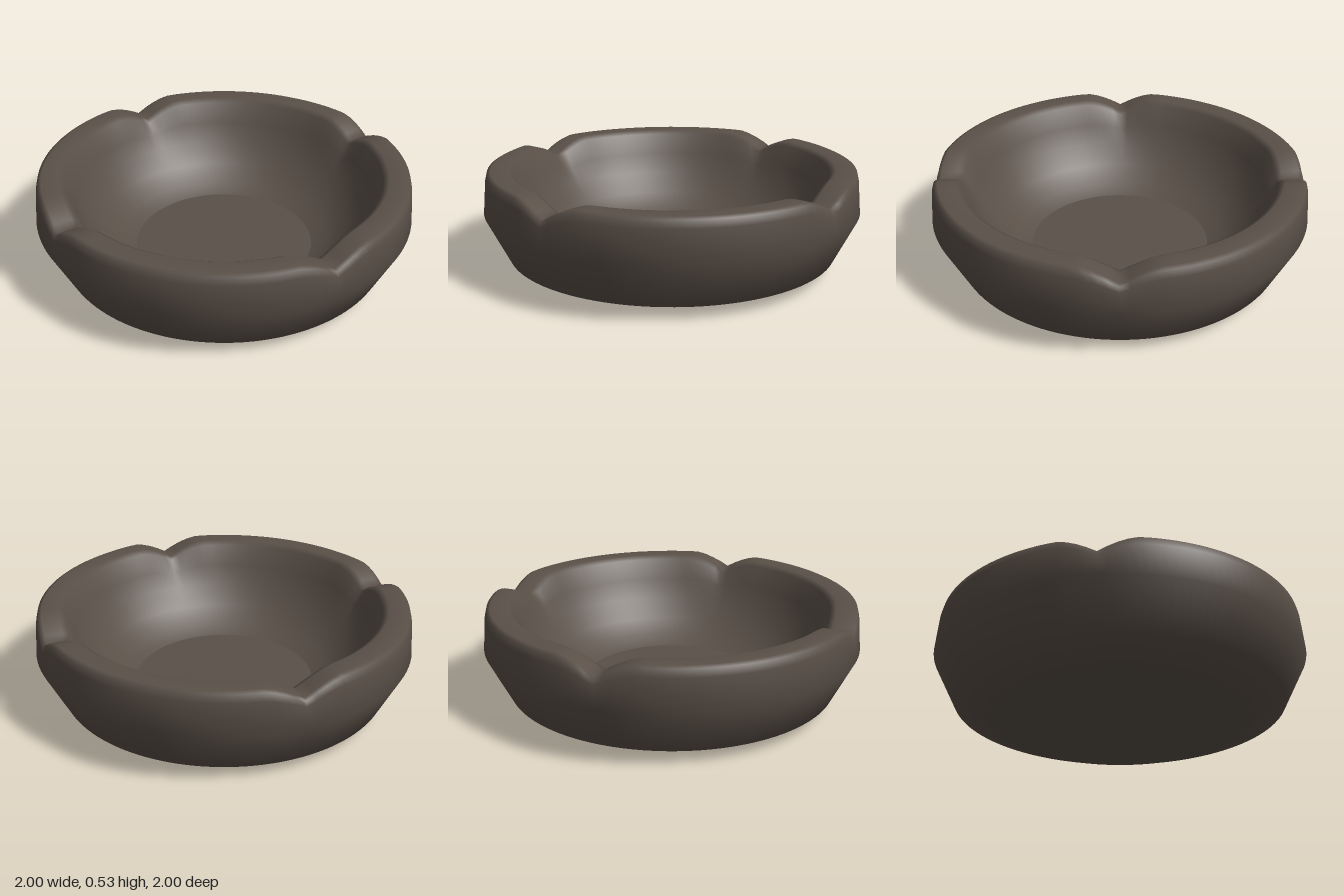
import * as THREE from 'three';
import { mergeVertices } from 'three/addons/utils/BufferGeometryUtils.js';

const FLOOR = 0.075, FLOOR_R = 0.48, BASE_R = 0.69;
const RIM_Y = 0.53, BEND_Y = 0.31, NOTCH_DEPTH = 0.08, NOTCH_HALF = 0.2;

export function createModel() {
  const group = new THREE.Group();
  const material = new THREE.MeshStandardMaterial({ color: 0x5a5048 });

  const add = (name, geometry) => {
    const mesh = new THREE.Mesh(geometry, material);
    mesh.name = name;
    group.add(mesh);
    return mesh;
  };

  // Wall: up the outside, over the rim, down the inside
  const profile = [
    [BASE_R, 0], [0.88, 0.07], [1, BEND_Y], [0.985, 0.48], [0.975, 0.52], [0.955, RIM_Y],
    [0.865, RIM_Y], [0.835, 0.51], [0.79, 0.4], [0.74, 0.29], [0.66, 0.19], [0.57, 0.115], [FLOOR_R, FLOOR],
  ].map(([r, y]) => new THREE.Vector2(r, y));
  let wall = new THREE.LatheGeometry(profile, 128);

  // Four V-shaped rests pressed into the rim, on the x and z axes
  const pos = wall.attributes.position;
  for (let i = 0; i < pos.count; i++) {
    const y = pos.getY(i);
    const side = Math.min(Math.abs(pos.getX(i)), Math.abs(pos.getZ(i)));
    if (y <= BEND_Y || side >= NOTCH_HALF) continue;
    const dip = NOTCH_DEPTH * Math.pow(1 - side / NOTCH_HALF, 1.5);
    pos.setY(i, y - dip * (y - BEND_Y) / (RIM_Y - BEND_Y));
  }

  // Weld the seam so the wall shades smoothly all round
  wall.deleteAttribute('uv');
  wall.deleteAttribute('normal');
  wall = mergeVertices(wall, 1e-4);
  wall.computeVertexNormals();
  add('bowlWall', wall);

  // Flat discs closing the inside and the underside
  const floor = add('bowlFloor', new THREE.CircleGeometry(FLOOR_R, 128));
  floor.rotation.x = -Math.PI / 2;
  floor.position.y = FLOOR;
  const base = add('base', new THREE.CircleGeometry(BASE_R, 128));
  base.rotation.x = Math.PI / 2;

  return group;
}
